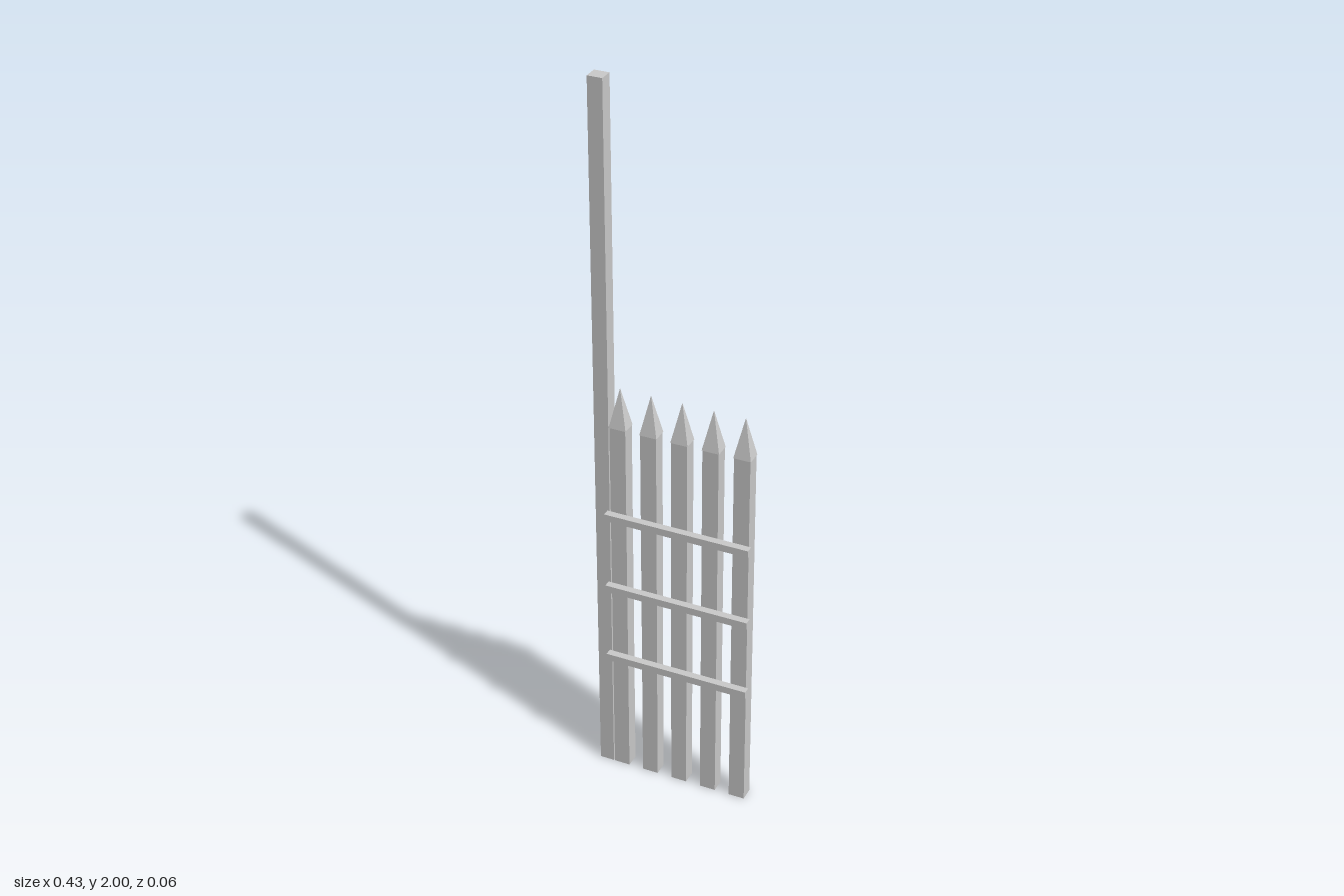
import * as THREE from 'three';

const material = new THREE.MeshStandardMaterial({ color: 0xcccccc, flatShading: true });

function addPart(parent, name, geometry, x, y, z) {
  const mesh = new THREE.Mesh(geometry, material);
  mesh.name = name;
  mesh.position.set(x, y, z);
  parent.add(mesh);
  return mesh;
}

export function createModel() {
  const model = new THREE.Group();
  model.name = 'picketFence';
  const backZ = -0.011;

  // Tall square post at one end
  addPart(model, 'tallPost', new THREE.BoxGeometry(0.04, 2, 0.038), -0.198, 1, backZ);

  // Five pickets, each with a slightly overhanging pyramid point
  const bodyHeight = 1.065, tipHeight = 0.11;
  const body = new THREE.BoxGeometry(0.044, bodyHeight, 0.038);
  const tip = new THREE.ConeGeometry(Math.SQRT1_2, tipHeight, 4, 1)
    .rotateY(Math.PI / 4)
    .scale(0.047, 1, 0.041);
  for (let i = 0; i < 5; i++) {
    const picket = new THREE.Group();
    picket.name = 'picket';
    picket.position.set(-0.153 + i * 0.085, 0, backZ);
    addPart(picket, 'picketBody', body, 0, bodyHeight / 2, 0);
    addPart(picket, 'picketPoint', tip, 0, bodyHeight + tipHeight / 2, 0);
    model.add(picket);
  }

  // Three rails across the front
  const rail = new THREE.BoxGeometry(0.4, 0.02, 0.02);
  for (const y of [0.364, 0.585, 0.806]) addPart(model, 'rail', rail, 0.016, y, 0.019);

  return model;
}
